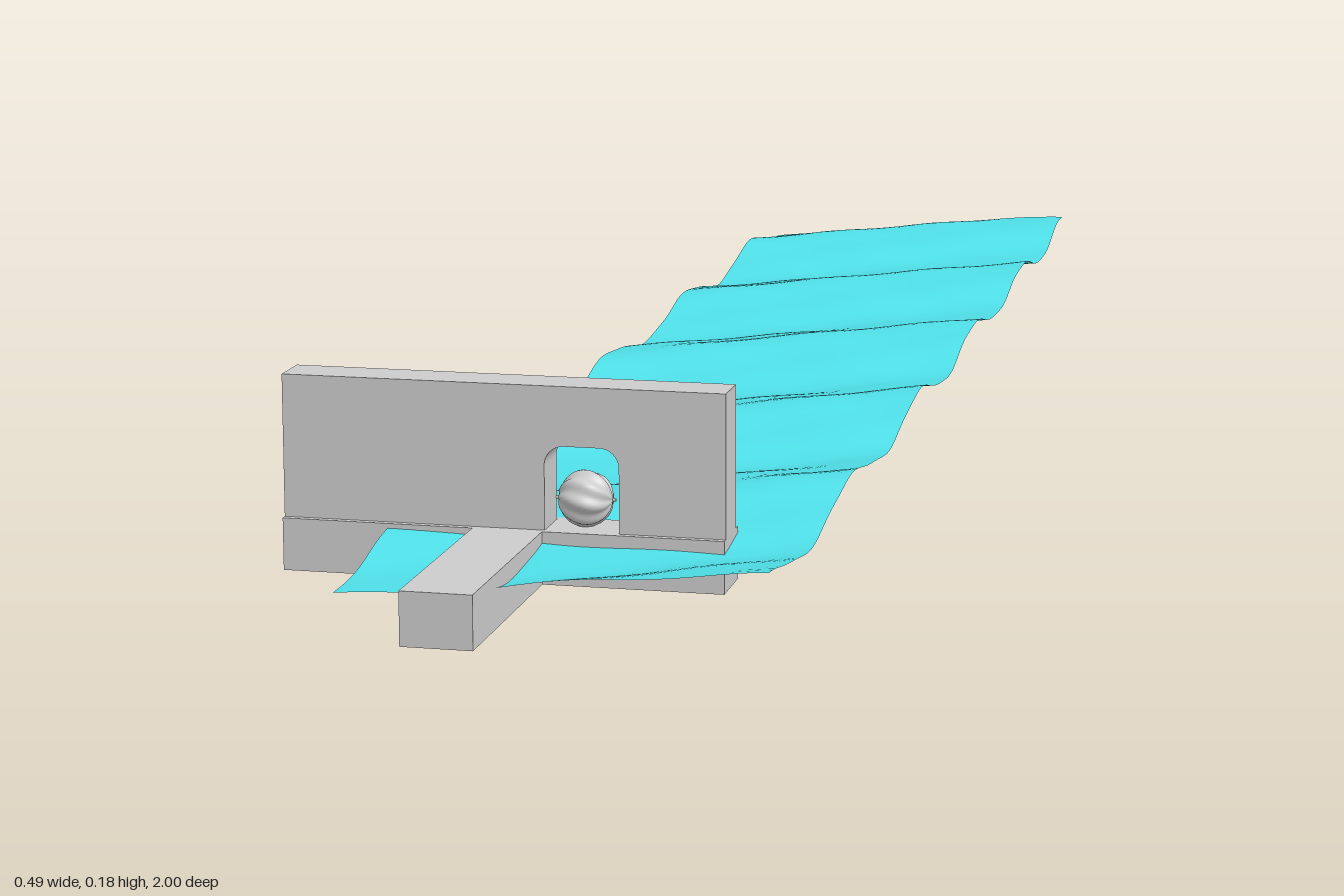
import * as THREE from 'three';

const grey = new THREE.MeshStandardMaterial({ color: 0xcccccc });
const water = new THREE.MeshStandardMaterial({ color: 0x4fdfe8, side: THREE.DoubleSide });

export function createModel() {
  const model = new THREE.Group();
  const add = (name, geometry, material = grey) => {
    const mesh = new THREE.Mesh(geometry, material);
    mesh.name = name;
    model.add(mesh);
    return mesh;
  };
  // box given by its minimum and maximum corners
  const box = (name, x0, x1, y0, y1, z0, z1) =>
    add(name, new THREE.BoxGeometry(x1 - x0, y1 - y0, z1 - z0))
      .position.set((x0 + x1) / 2, (y0 + y1) / 2, (z0 + z1) / 2);

  // T-shaped footing
  box('wallBase', -0.245, 0.168, 0, 0.049, 0.718, 0.775);
  box('footBeam', -0.065, 0, 0, 0.049, 0.775, 1);

  // wall with a round-cornered gate opening at its foot
  const wall = new THREE.Shape();
  const r = 0.018, gx0 = 0.001, gx1 = 0.07, gTop = 0.127;
  wall.moveTo(-0.245, 0.049);
  wall.lineTo(gx0, 0.049);
  wall.lineTo(gx0, gTop - r);
  wall.absarc(gx0 + r, gTop - r, r, Math.PI, Math.PI / 2, true);
  wall.absarc(gx1 - r, gTop - r, r, Math.PI / 2, 0, true);
  wall.lineTo(gx1, 0.049);
  wall.lineTo(0.168, 0.049);
  wall.lineTo(0.168, 0.182);
  wall.lineTo(-0.245, 0.182);
  const wallGeo = new THREE.ExtrudeGeometry(wall, { depth: 0.043, bevelEnabled: false, curveSegments: 8 });
  add('wall', wallGeo).position.z = 0.726;

  // ball turbine: sphere with twisted ridges around a horizontal axle
  const ball = new THREE.SphereGeometry(0.025, 64, 32);
  const p = ball.attributes.position;
  const v = new THREE.Vector3();
  for (let i = 0; i < p.count; i++) {
    v.fromBufferAttribute(p, i);
    const around = Math.hypot(v.x, v.z) / 0.025;
    const ridge = Math.cos(8 * Math.atan2(v.z, v.x) + 90 * v.y);
    v.multiplyScalar(1 + 0.06 * around * ridge);
    p.setXYZ(i, v.x, v.y, v.z);
  }
  ball.rotateZ(Math.PI / 2);
  ball.computeVertexNormals();
  add('turbineBall', ball).position.set(0.034, 0.075, 0.747);
  const axle = add('turbineAxle', new THREE.CylinderGeometry(0.0015, 0.0015, 0.056, 10));
  axle.rotation.z = Math.PI / 2;
  axle.position.set(0.034, 0.075, 0.747);

  // water strip: diagonal swell, fine ripples, slightly higher on the left
  const x0 = -0.145, x1 = 0.242, z0 = -0.998, z1 = 0.935;
  const sheet = new THREE.PlaneGeometry(x1 - x0, z1 - z0, 28, 140);
  sheet.rotateX(-Math.PI / 2);
  sheet.translate((x0 + x1) / 2, 0, (z0 + z1) / 2);
  const s = sheet.attributes.position;
  for (let i = 0; i < s.count; i++) {
    const x = s.getX(i), z = s.getZ(i), u = (x - x0) / (x1 - x0);
    const swell = Math.cos(2 * Math.PI * (z - 0.94 + 0.45 * (x - x1)) / 0.385);
    const ripple = Math.sin(31 * x + 47 * z) + 0.7 * Math.sin(23 * z - 38 * x + 1.3);
    s.setY(i, 0.036 + 0.016 * u + 0.0115 * swell + 0.0012 * ripple);
  }
  sheet.computeVertexNormals();
  add('waterSurface', sheet, water);

  return model;
}
